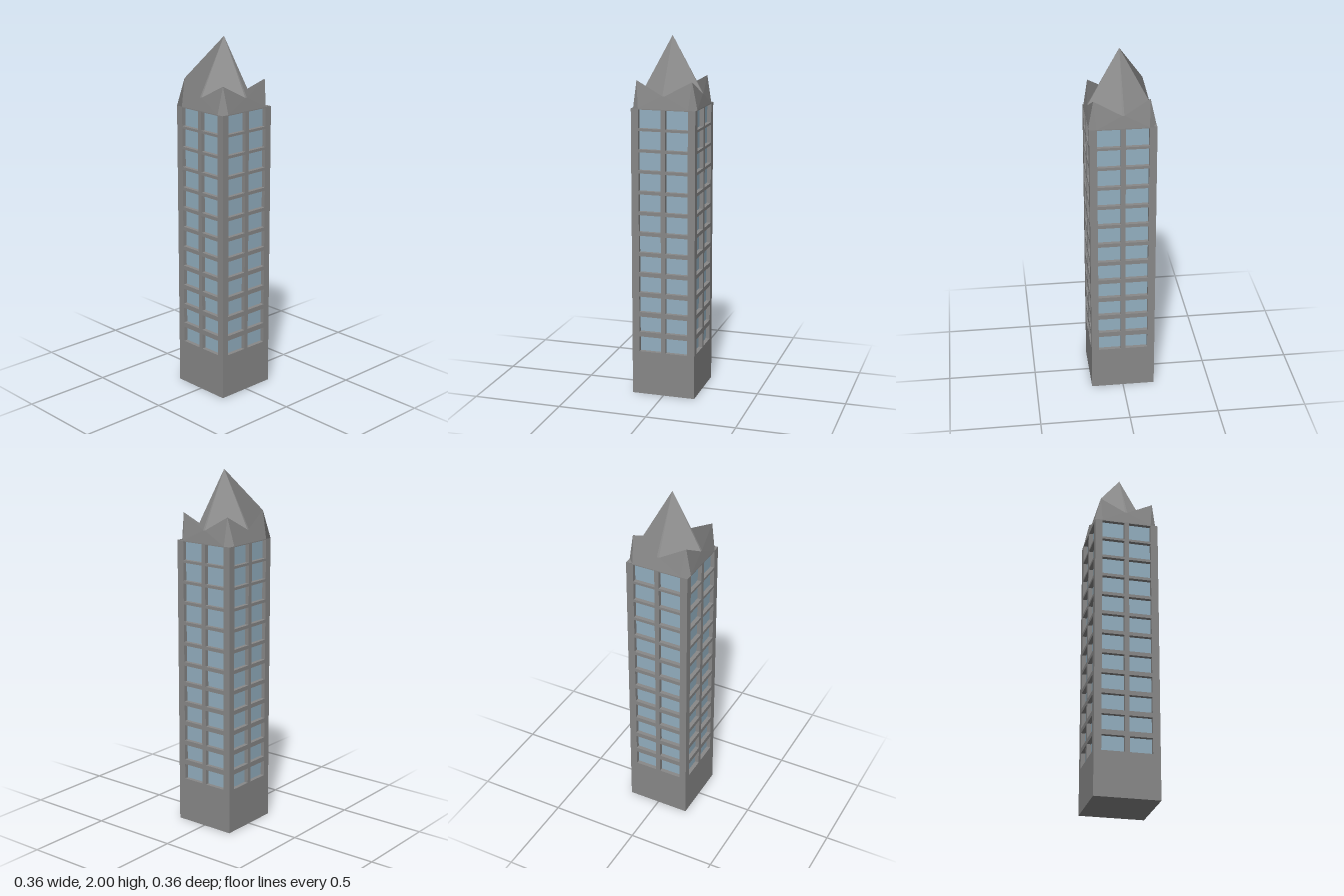
import * as THREE from 'three';

const HALF = 0.18, TOP = 1.62, DEPTH = 0.025, INNER = HALF - DEPTH;
const stone = new THREE.MeshStandardMaterial({ color: 0x888888 });
const glass = new THREE.MeshStandardMaterial({ color: 0x93afc0 });
const v = (x, y, z) => new THREE.Vector3(x, y, z);

function mesh(geometry, material, name) {
  const m = new THREE.Mesh(geometry, material);
  m.name = name;
  return m;
}

// Two columns of twelve window openings on one side: [x0, y0, x1, y1]
function windowRects() {
  const rects = [];
  for (let row = 0; row < 12; row++) {
    const y = 0.25 + row * 0.1148, h = 0.087 + row * 0.0014;
    rects.push([-0.139, y, -0.013, y + h], [0.013, y, 0.139, y + h]);
  }
  return rects;
}

function rectPath(path, x0, y0, x1, y1) {
  path.moveTo(x0, y0);
  path.lineTo(x1, y0);
  path.lineTo(x1, y1);
  path.lineTo(x0, y1);
  path.closePath();
  return path;
}

// Collects flat polygons that share one normal over all their triangles
class Facets {
  constructor() { this.pos = []; this.nor = []; }
  add(pts, tris, normal) {
    for (const tri of tris) for (const k of tri) {
      this.pos.push(...pts[k].toArray());
      this.nor.push(...normal.toArray());
    }
  }
  tri(a, b, c) {
    const n = b.clone().sub(a).cross(c.clone().sub(a)).normalize();
    this.add([a, b, c], [[0, 1, 2]], n);
  }
  // splitAC picks the diagonal on which a bent quad folds
  quad(a, b, c, d, splitAC) {
    const n = c.clone().sub(a).cross(d.clone().sub(b)).normalize();
    this.add([a, b, c, d], splitAC ? [[0, 1, 2], [0, 2, 3]] : [[0, 1, 3], [1, 2, 3]], n);
  }
  geometry() {
    const g = new THREE.BufferGeometry();
    g.setAttribute('position', new THREE.Float32BufferAttribute(this.pos, 3));
    g.setAttribute('normal', new THREE.Float32BufferAttribute(this.nor, 3));
    return g;
  }
}

// Pointed roof: four corner peaks, valleys between them, central spire
function roofParts() {
  const crown = new Facets(), spire = new Facets();
  const apex = v(0, 2, 0), bevel = 0.006, foot = 0.14;
  const peaks = [v(0.155, 1.77, 0.155), v(0.155, 1.77, -0.155),
    v(-0.145, 1.772, -0.155), v(-0.145, 1.772, 0.155)];
  const reach = [0.17, 0.17, 0.172, 0.163];
  const up = v(0, 1, 0);

  // Sides run front, right, back, left; peak i stands at the right end of side i
  const sides = reach.map((r, i) => {
    const at = (x, y, z) => v(x, y, z).applyAxisAngle(up, i * Math.PI / 2);
    return {
      valleyL: at(-bevel, 1.69, r), valleyR: at(bevel, 1.69, r),
      footL: at(-foot, TOP, HALF), footR: at(foot, TOP, HALF),
      corner: at(HALF, TOP, HALF),
    };
  });

  sides.forEach((s, i) => {
    const next = sides[(i + 1) % 4], right = peaks[i], left = peaks[(i + 3) % 4];
    const folded = i !== 3;
    // sloping gable wall between two peaks
    crown.tri(s.footL, s.valleyL, left);
    crown.tri(s.footL, s.footR, s.valleyL);
    crown.tri(s.footR, s.valleyR, s.valleyL);
    crown.tri(s.footR, right, s.valleyR);
    // corner facet under the peak
    crown.quad(s.footR, s.corner, next.footL, right, folded);
    // spire face and its narrow ridge
    spire.quad(apex, s.valleyR, right, next.valleyL, !folded);
    spire.tri(apex, s.valleyL, s.valleyR);
  });
  return [mesh(crown.geometry(), stone, 'crown'), mesh(spire.geometry(), stone, 'spire')];
}

export function createModel() {
  const tower = new THREE.Group();
  tower.name = 'tower';

  // Solid core behind the walls
  const core = mesh(new THREE.BoxGeometry(INNER * 2, TOP, INNER * 2), stone, 'core');
  core.position.y = TOP / 2;
  tower.add(core);

  // Four pierced walls with recessed panes
  const rects = windowRects();
  ['front', 'right', 'back', 'left'].forEach((label, i) => {
    const side = new THREE.Group();
    side.name = label + 'Side';
    side.rotation.y = i * Math.PI / 2;

    const w = i % 2 ? INNER : HALF;
    const shape = rectPath(new THREE.Shape(), -w, 0, w, TOP);
    for (const r of rects) shape.holes.push(rectPath(new THREE.Path(), ...r));
    const wall = mesh(new THREE.ExtrudeGeometry(shape, { depth: DEPTH, bevelEnabled: false }), stone, 'wall');
    wall.position.z = INNER;
    side.add(wall);

    for (const [x0, y0, x1, y1] of rects) {
      const pane = mesh(new THREE.PlaneGeometry(x1 - x0, y1 - y0), glass, 'windowPane');
      pane.position.set((x0 + x1) / 2, (y0 + y1) / 2, INNER + 0.002);
      side.add(pane);
    }
    tower.add(side);
  });

  const roof = new THREE.Group();
  roof.name = 'roof';
  roof.add(...roofParts());
  tower.add(roof);
  return tower;
}
